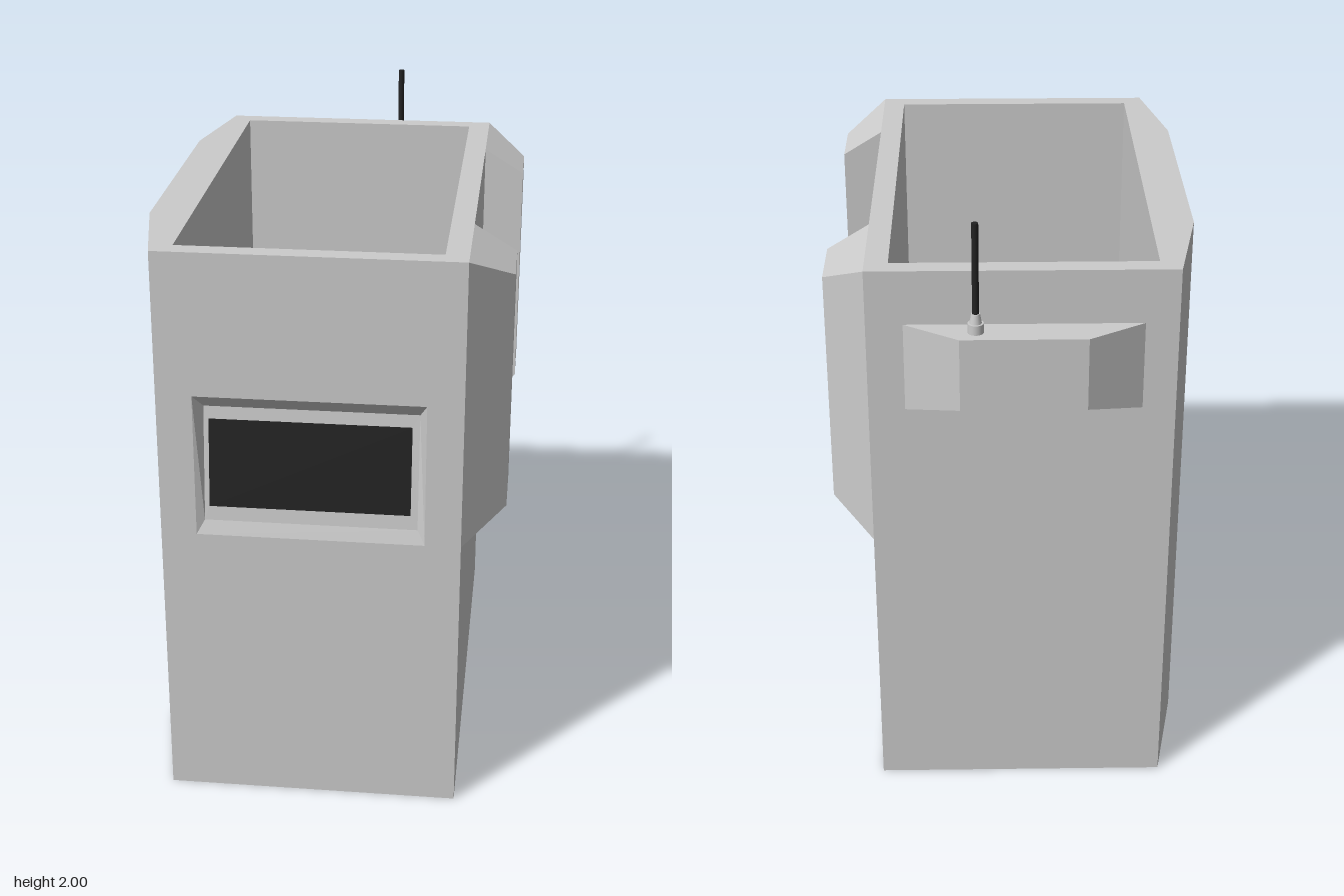
import * as THREE from 'three';

const H = 1.83;
const grey = new THREE.MeshStandardMaterial({ color: 0xcccccc, flatShading: true });
const dark = new THREE.MeshStandardMaterial({ color: 0x222222, flatShading: true });

// Skin through loops of equal length, each counter-clockwise seen from outside
function skin(name, loops, { first = false, last = false, material = grey } = {}) {
  const pos = [];
  const tri = (a, b, c) => pos.push(...a, ...b, ...c);
  const cap = (l) => { for (let i = 1; i < l.length - 1; i++) tri(l[0], l[i], l[i + 1]); };
  for (let k = 0; k < loops.length - 1; k++) {
    const A = loops[k], B = loops[k + 1], n = A.length;
    for (let i = 0; i < n; i++) {
      const j = (i + 1) % n;
      tri(A[i], A[j], B[j]);
      tri(A[i], B[j], B[i]);
    }
  }
  if (first) cap([...loops[0]].reverse());
  if (last) cap(loops[loops.length - 1]);
  const g = new THREE.BufferGeometry();
  g.setAttribute('position', new THREE.Float32BufferAttribute(pos, 3));
  g.computeVertexNormals();
  const mesh = new THREE.Mesh(g, material);
  mesh.name = name;
  return mesh;
}

// Skin that ends in a dark panel
function panelled(name, loops, options = {}) {
  const group = new THREE.Group();
  group.name = name;
  group.add(skin(name + 'Frame', loops, options));
  group.add(skin(name + 'Panel', loops.slice(-1), { last: true, material: dark }));
  return group;
}

// Hood on a wall with an opening underneath; plan points are [x, z]
function hood(name, plan, top, bottom, inset, depth) {
  const n = plan.length;
  const at = (ys) => plan.map(([x, z], i) => [x, ys[i], z]);
  const low = at(bottom);
  const mid = [0, 1, 2].map((k) => low.reduce((s, p) => s + p[k], 0) / n);
  const inner = low.map((p) => p.map((v, k) => v + (mid[k] - v) * inset));
  const deep = inner.map(([x, y, z]) => [x, y + depth, z]);
  return panelled(name, [at(top), low, inner, deep], { first: true });
}

export function createModel() {
  const model = new THREE.Group();
  model.name = 'cabinet';

  // Outer walls, around the plan
  const plan = [[-0.49, 0.81], [0.43, 0.81], [0.43, -0.71], [-0.49, -0.71], [-0.56, -0.36], [-0.56, 0.46]];
  const wall = (i) => {
    const [a, b] = [plan[i], plan[(i + 1) % 6]];
    return [[a[0], 0, a[1]], [b[0], 0, b[1]], [b[0], H, b[1]], [a[0], H, a[1]]];
  };
  for (const i of [1, 2, 3, 5]) model.add(skin('wall', [wall(i)], { last: true }));

  // Front wall with a window recess that leans back towards the top
  const front = (x0, x1, y0, y1, z0, z1) => [[x0, y0, z0], [x1, y0, z0], [x1, y1, z1], [x0, y1, z1]];
  model.add(panelled('frontWindow', [
    wall(0),
    front(-0.38, 0.32, 0.92, 1.38, 0.81, 0.81),
    front(-0.355, 0.297, 0.965, 1.33, 0.797, 0.76),
    front(-0.34, 0.275, 1.01, 1.29, 0.793, 0.764),
  ]));

  // Right wall with a tall bevelled door recess
  const side = (x, z0, z1, y0, y1) => [[x, y0, z0], [x, y0, z1], [x, y1, z1], [x, y1, z0]];
  model.add(panelled('door', [
    wall(4),
    side(-0.56, -0.285, 0.385, 0.1, 1.74),
    side(-0.48, -0.25, 0.35, 0.2, 1.64),
    side(-0.48, -0.225, 0.325, 0.235, 1.605),
  ]));

  // Rim, inner walls and dark inner floor
  const hollow = (y) => [[-0.43, 0.75], [0.36, 0.75], [0.36, -0.65], [-0.43, -0.65], [-0.43, -0.36], [-0.43, 0.46]]
    .map(([x, z]) => [x, y, z]);
  model.add(panelled('hollow', [plan.map(([x, z]) => [x, H, z]), hollow(H), hollow(0.12)]));
  model.add(skin('base', [plan.map(([x, z]) => [x, 0, z])], { first: true }));

  // Corner hoods on the left wall
  model.add(hood('frontCornerHood', [[0.43, 0.46], [0.56, 0.46], [0.56, 0.67], [0.43, 0.81]],
    [H, 1.75, 1.75, H], [0.92, 1, 1, 0.92], 0.3, 0.035));
  model.add(hood('rearCornerHood', [[0.43, -0.71], [0.56, -0.57], [0.56, -0.36], [0.43, -0.36]],
    [H, 1.75, 1.75, H], [0.92, 1, 1, 0.92], 0.3, 0.035));

  // Rear hood
  model.add(hood('rearHood', [[-0.39, -0.71], [-0.22, -0.815], [0.155, -0.815], [0.32, -0.71]],
    [1.66, 1.66, 1.66, 1.66], [1.38, 1.43, 1.43, 1.38], 0.28, 0.03));

  // Antenna on the rear hood
  const rod = (name, r0, r1, y0, y1, material) => {
    const m = new THREE.Mesh(new THREE.CylinderGeometry(r1, r0, y1 - y0, 16), material);
    m.position.set(0.107, (y0 + y1) / 2, -0.763);
    m.name = name;
    model.add(m);
  };
  const smooth = new THREE.MeshStandardMaterial({ color: 0xcccccc });
  rod('antennaBase', 0.024, 0.024, 1.66, 1.69, smooth);
  rod('antennaCollar', 0.018, 0.013, 1.69, 1.72, smooth);
  rod('antennaRod', 0.01, 0.01, 1.72, 2, new THREE.MeshStandardMaterial({ color: 0x222222 }));

  return model;
}
